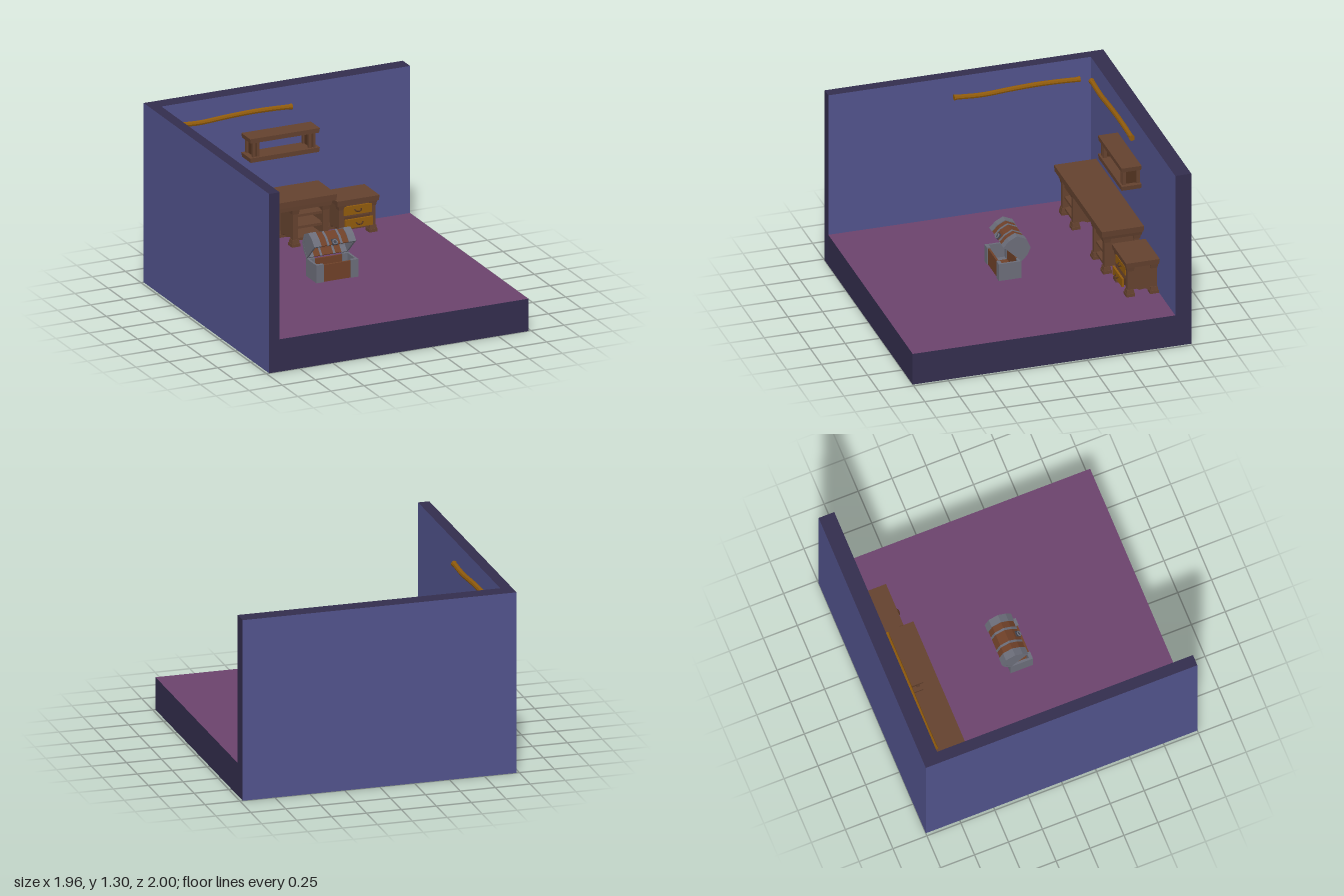
import * as THREE from 'three';

const mat = (color) => new THREE.MeshStandardMaterial({ color, flatShading: true });
const blue = mat(0x50528a), dark = mat(0x332d4d), purple = mat(0x6b426c);
const wood = mat(0x63412e), woodDark = mat(0x50321f), chestWood = mat(0x6e4028);
const gold = mat(0x8f5a0c), metal = mat(0x6a6c78), iron = mat(0x40424c);

function mesh(parent, name, geo, material) {
  const m = new THREE.Mesh(geo, material);
  m.name = name;
  parent.add(m);
  return m;
}

function group(parent, name) {
  const g = new THREE.Group();
  g.name = name;
  parent.add(g);
  return g;
}

// Box from its limits; taper scales the lower end in x and z
function box(parent, name, [x0, x1], [y0, y1], [z0, z1], material, taper = 1) {
  const geo = new THREE.BoxGeometry(x1 - x0, y1 - y0, z1 - z0);
  const p = geo.attributes.position;
  for (let i = 0; i < p.count; i++) {
    if (p.getY(i) < 0) { p.setX(i, p.getX(i) * taper); p.setZ(i, p.getZ(i) * taper); }
  }
  geo.translate((x0 + x1) / 2, (y0 + y1) / 2, (z0 + z1) / 2);
  return mesh(parent, name, geo, material);
}

// Outline given as [z, y] points, extruded along x
function extrudeX(parent, name, pts, x0, x1, material) {
  const shape = new THREE.Shape(pts.map(([z, y]) => new THREE.Vector2(z, y)));
  const geo = new THREE.ExtrudeGeometry(shape, { depth: x1 - x0, bevelEnabled: false });
  geo.rotateY(-Math.PI / 2).translate(x1, 0, 0);
  return mesh(parent, name, geo, material);
}

const FLOOR = 0.235;

function room(root) {
  const g = group(root, 'room');
  box(g, 'backWall', [-0.98, 0.98], [0, 1.305], [-1, -0.885], [dark, blue, dark, blue, blue, blue]);
  box(g, 'leftWall', [-0.98, -0.9], [0, 1.305], [-0.885, 1], [blue, blue, dark, blue, dark, dark]);
  box(g, 'floor', [-0.9, 0.98], [0, FLOOR], [-0.885, 1], [dark, dark, purple, blue, dark, dark]);
}

// Square post with stepped foot and capital
function post(parent, x, z, top) {
  const step = (name, y0, y1, h, t = 1) =>
    box(parent, name, [x - h, x + h], [y0, y1], [z - h, z + h], wood, t);
  step('postFoot', FLOOR, FLOOR + 0.022, 0.031);
  step('postBase', FLOOR + 0.022, FLOOR + 0.05, 0.024, 1.15);
  step('postShaft', FLOOR + 0.05, top - 0.035, 0.02);
  step('postCapital', top - 0.035, top, 0.029, 0.8);
}

// Cabinet body: four posts, worn side panels, back and shelves
function cabinet(parent, [x0, x1], [z0, z1], top, shelves) {
  for (const x of [x0 + 0.031, x1 - 0.031]) {
    for (const z of [z0 + 0.031, z1 - 0.031]) post(parent, x, z, top);
    const a = z0 + 0.03, b = z1 - 0.03, w = b - a, y = FLOOR;
    extrudeX(parent, 'sidePanel', [
      [a, top], [a, y + 0.03], [a + w * 0.2, y + 0.022], [a + w * 0.35, y + 0.04],
      [a + w * 0.6, y + 0.035], [a + w * 0.75, y + 0.05], [b, y + 0.045], [b, top],
    ], x - 0.012, x + 0.012, wood);
  }
  box(parent, 'backPanel', [x0 + 0.04, x1 - 0.04], [FLOOR + 0.035, top], [z0 + 0.02, z0 + 0.035], woodDark);
  for (const y of shelves)
    box(parent, 'shelfBoard', [x0 + 0.04, x1 - 0.04], [y - 0.009, y + 0.009], [z0 + 0.03, z1 - 0.025], wood);
}

function desk(root) {
  const g = group(root, 'desk');
  box(g, 'deskTop', [-0.78, 0.285], [0.538, 0.582], [-0.885, -0.582], wood, 0.99);
  box(g, 'deskApron', [-0.755, 0.26], [0.503, 0.538], [-0.883, -0.6], wood, 0.98);
  for (const x of [[-0.745, -0.45], [-0.045, 0.245]])
    cabinet(g, x, [-0.88, -0.605], 0.505, [0.45, 0.365, 0.28]);
}

function nightstand(root) {
  const g = group(root, 'nightstand');
  box(g, 'nightstandTop', [0.315, 0.635], [0.462, 0.5], [-0.885, -0.643], wood, 0.97);
  cabinet(g, [0.327, 0.623], [-0.882, -0.65], 0.462, [0.45, 0.372, 0.28]);
  // Drawers; the lower one stands slightly open
  [[0.384, 0.447, -0.652], [0.298, 0.36, -0.63]].forEach(([y0, y1, z]) => {
    const d = group(g, 'drawer');
    box(d, 'drawerBody', [0.385, 0.565], [y0 + 0.006, y1 - 0.008], [-0.84, z - 0.01], woodDark);
    box(d, 'drawerFront', [0.37, 0.58], [y0, y1], [z - 0.015, z], gold);
    const cy = (y0 + y1) / 2;
    const curve = new THREE.CatmullRomCurve3([[-0.025, 0.006, 0], [-0.015, -0.004, 0.014],
      [0.015, -0.004, 0.014], [0.025, 0.006, 0]].map((p) => new THREE.Vector3(...p)));
    mesh(d, 'drawerHandle', new THREE.TubeGeometry(curve, 8, 0.005, 6), woodDark)
      .position.set(0.475, cy, z);
  });
}

function wallShelf(root) {
  const g = group(root, 'wallShelf');
  box(g, 'upperBoard', [-0.297, 0.23], [0.985, 1.018], [-0.885, -0.742], wood, 0.98);
  box(g, 'lowerBoard', [-0.297, 0.23], [0.845, 0.878], [-0.885, -0.742], wood, 0.98);
  for (const x of [-0.245, 0.18]) {
    box(g, 'shelfSide', [x - 0.012, x + 0.012], [0.878, 0.985], [-0.885, -0.765], woodDark);
    for (const z of [-0.768, -0.868]) for (const s of [-1, 1])
      box(g, 'shelfPost', [x + s * 0.016 - 0.009, x + s * 0.016 + 0.009], [0.878, 0.985], [z - 0.012, z + 0.012], wood);
  }
}

// Slightly crooked wooden rod along x, with thicker ends
function rod(root, name) {
  const g = group(root, name);
  const pts = [[-0.45, 0.002], [-0.25, -0.009], [-0.05, 0.002], [0.15, 0.009], [0.32, 0.006], [0.45, 0]]
    .map(([x, y]) => new THREE.Vector3(x, y, 0));
  mesh(g, 'rodShaft', new THREE.TubeGeometry(new THREE.CatmullRomCurve3(pts), 20, 0.018, 8), gold);
  for (const s of [-1, 1]) {
    const knob = mesh(g, 'rodEnd', new THREE.CylinderGeometry(0.022, 0.018, 0.024, 8), gold);
    knob.rotation.z = -s * Math.PI / 2;
    knob.position.set(s * 0.44, 0.001, 0);
  }
  return g;
}

// Lid cross-section, [depth, height] from the hinge
const LID = [[0, 0], [0, 0.06], [0.02, 0.115], [0.09, 0.145], [0.16, 0.12], [0.18, 0.06], [0.18, 0]];
const lidProfile = (k, drop = 0) => LID.map(([u, v]) => [0.09 + (u - 0.09) * k, v * k - drop]);
function lidRing(parent, name, x0, x1, outer, inner, material, drop = 0) {
  extrudeX(parent, name, [...lidProfile(outer, drop), ...lidProfile(inner, drop).reverse()], x0, x1, material);
}

// Open box wall ring: front, back, bottom over a span of x
function trough(parent, name, x, inset, t, material) {
  const z0 = -0.06 + inset, z1 = 0.105 - inset, y0 = FLOOR, y1 = 0.364 - inset;
  extrudeX(parent, name, [[z0, y0], [z1, y0], [z1, y1], [z1 - t, y1], [z1 - t, y0 + 0.02],
    [z0 + t, y0 + 0.02], [z0 + t, y1], [z0, y1]], x[0], x[1], material);
}

function chest(root) {
  const g = group(root, 'chest');
  trough(g, 'chestBase', [-0.17, 0.095], 0.007, 0.014, chestWood);
  const lid = group(g, 'chestLid');
  lid.position.set(0, 0.362, -0.06);
  lid.rotation.x = -0.765;
  lidRing(lid, 'lidShell', -0.17, 0.095, 0.94, 0.84, chestWood);
  // Metal end bands and closed end plates
  for (const [a, b, e0, e1] of [[-0.197, -0.142, -0.197, -0.182], [0.065, 0.12, 0.105, 0.12]]) {
    trough(g, 'baseBand', [a, b], 0, 0.025, metal);
    box(g, 'baseEndPlate', [e0, e1], [FLOOR + 0.01, 0.363], [-0.05, 0.095], metal);
    lidRing(lid, 'lidBand', a, b, 1, 0.82, metal, 0.002);
    extrudeX(lid, 'lidEndPlate', lidProfile(0.95), e0 + 0.001, e1 - 0.001, metal);
  }
  // Narrow straps
  for (const x of [-0.088, 0.011]) lidRing(lid, 'lidStrap', x - 0.008, x + 0.008, 0.975, 0.82, metal, 0.002);
  // Lock plate and ring
  box(lid, 'lockPlate', [-0.058, -0.018], [-0.004, 0.038], [0.168, 0.182], iron);
  mesh(lid, 'lockRing', new THREE.TorusGeometry(0.016, 0.005, 6, 12), metal).position.set(-0.038, 0.012, 0.186);
}

export function createModel() {
  const root = new THREE.Group();
  root.name = 'roomScene';
  room(root);
  desk(root);
  nightstand(root);
  wallShelf(root);
  chest(root);
  rod(root, 'backRod').position.set(-0.375, 1.158, -0.866);
  const left = rod(root, 'leftRod');
  left.position.set(-0.877, 1.158, -0.347);
  left.rotation.y = Math.PI / 2;
  return root;
}
